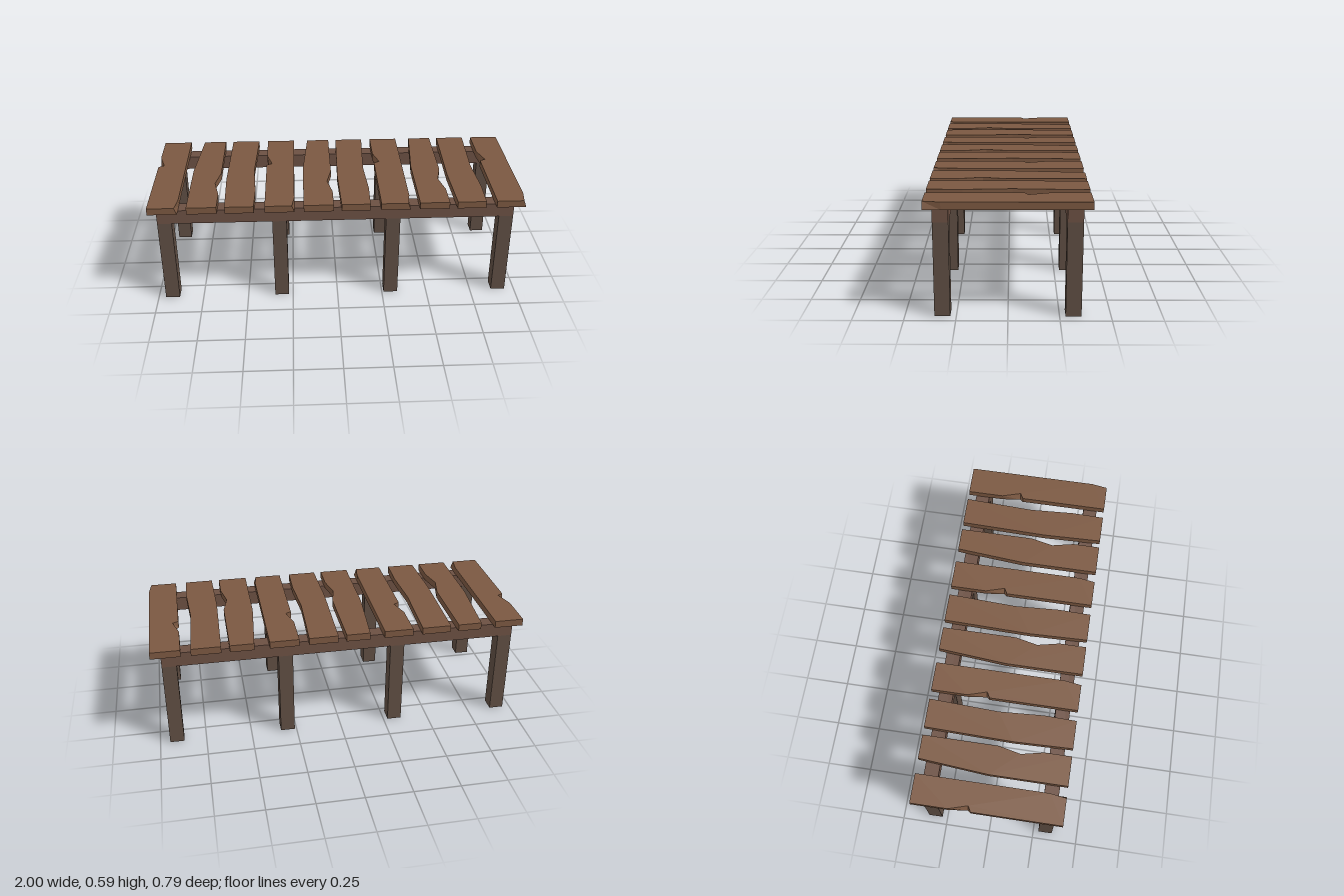
import * as THREE from 'three';

const mat = (color) => new THREE.MeshStandardMaterial({ color, roughness: 0.9, flatShading: true, side: THREE.FrontSide });

const DECK_Y = 0.556, PLANK_T = 0.038, RAIL_H = 0.078, POST = 0.077, SIDE_Z = 0.318;

// Plank outlines as [x, z, x at the underside if different], around the plank's centre line
const OUTLINES = [
  // chipped left edge and a worn front corner
  [[-0.078, -0.397], [0.078, -0.397], [0.078, 0.31], [0.065, 0.397, 0.078], [-0.078, 0.397],
    [-0.078, -0.08], [-0.047, -0.097, -0.066], [-0.078, -0.2]],
  // tapered left edge and a shallow bite on the right
  [[-0.048, -0.397], [0.079, -0.397], [0.079, 0.01], [0.053, 0.13], [0.079, 0.25],
    [0.079, 0.397], [-0.079, 0.397], [-0.079, -0.02]],
  // gently wavy edges
  [[-0.074, -0.397], [0.082, -0.397], [0.066, -0.02], [0.08, 0.22], [0.076, 0.397],
    [-0.076, 0.397], [-0.085, 0.08]],
];

function plankGeometry(outline) {
  const shape = new THREE.Shape(outline.map(([x, z]) => new THREE.Vector2(x, -z)));
  const geo = new THREE.ExtrudeGeometry(shape, { depth: PLANK_T, bevelEnabled: false });
  geo.rotateX(-Math.PI / 2);
  // Shift the underside corners so worn edges slope
  const pos = geo.attributes.position;
  for (let i = 0; i < pos.count; i++) {
    if (pos.getY(i) > PLANK_T / 2) continue;
    for (const [x, z, under] of outline) {
      if (under !== undefined && Math.hypot(pos.getX(i) - x, pos.getZ(i) - z) < 1e-4) {
        pos.setX(i, under);
        break;
      }
    }
  }
  geo.computeVertexNormals();
  return geo;
}

export function createModel() {
  const model = new THREE.Group();
  model.name = 'boardwalk';
  const plankMat = mat(0x7b5841), railMat = mat(0x6c5043), postMat = mat(0x5f4e43);

  const add = (name, geo, material, x, y, z) => {
    const mesh = new THREE.Mesh(geo, material);
    mesh.name = name;
    mesh.position.set(x, y, z);
    model.add(mesh);
  };

  // Deck planks: three shapes repeating along the length
  const planks = OUTLINES.map(plankGeometry);
  const firstX = [-0.922, -0.716, -0.519];
  for (let i = 0; i < 10; i++) {
    const kind = i % 3;
    add(`plank${i + 1}`, planks[kind], plankMat, firstX[kind] + Math.floor(i / 3) * 0.6145, DECK_Y, 0);
  }

  // Long rails under the deck, each on four posts
  const railGeo = new THREE.BoxGeometry(1.907, RAIL_H, POST);
  const postH = DECK_Y - RAIL_H;
  const postGeo = new THREE.BoxGeometry(POST, postH, POST);
  for (const [side, z] of [['front', SIDE_Z], ['back', -SIDE_Z]]) {
    add(`${side}Rail`, railGeo, railMat, -0.0065, DECK_Y - RAIL_H / 2, z);
    for (let i = 0; i < 4; i++) {
      add(`${side}Post${i + 1}`, postGeo, postMat, -0.9215 + i * 0.61, postH / 2, z);
    }
  }
  return model;
}
